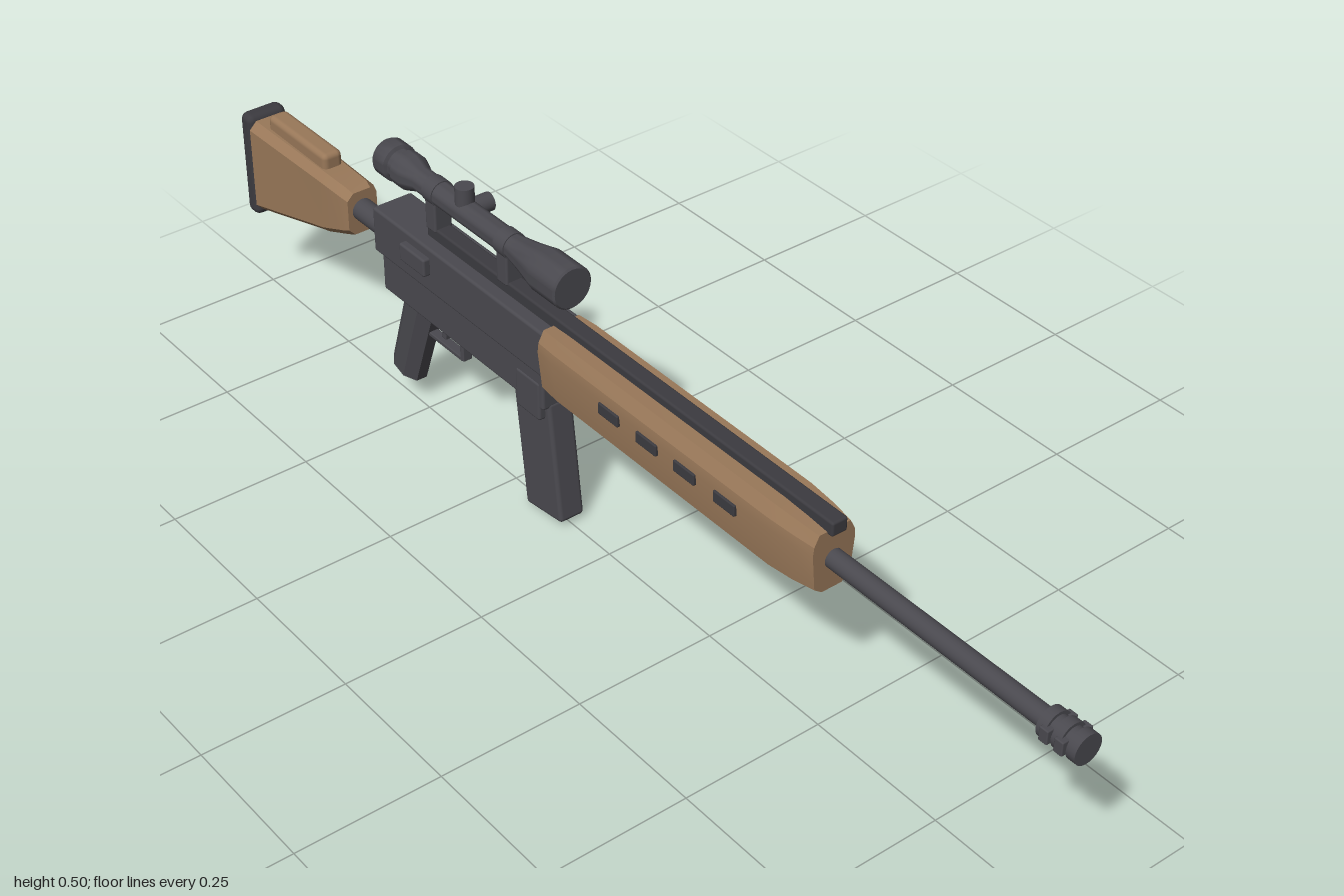
import * as THREE from 'three';
import { RoundedBoxGeometry } from 'three/addons/geometries/RoundedBoxGeometry.js';
import { toCreasedNormals } from 'three/addons/utils/BufferGeometryUtils.js';

const mat = (name, color) => {
  const m = new THREE.MeshStandardMaterial({ color });
  m.name = name;
  return m;
};

// Mirrored outline from half points [x, y] listed bottom to top
const mirror = half => [...half, ...half.slice().reverse().map(([x, y]) => [-x, y])];

// Chamfered box outline
const chamfered = (w, y0, y1, c) => mirror([[w - c, y0], [w, y0 + c], [w, y1 - c], [w - c, y1]]);

// Closed solid through outlines ordered from front to back
function loft(sections) {
  const pos = [];
  const n = sections[0].pts.length;
  const P = (i, j) => [...sections[i].pts[j % n], sections[i].z];
  const tri = (...v) => v.forEach(p => pos.push(...p));
  const last = sections.length - 1;
  for (let i = 0; i < last; i++) {
    for (let j = 0; j < n; j++) {
      tri(P(i, j), P(i + 1, j), P(i, j + 1));
      tri(P(i, j + 1), P(i + 1, j), P(i + 1, j + 1));
    }
  }
  for (let j = 1; j < n - 1; j++) {
    tri(P(0, 0), P(0, j), P(0, j + 1));
    tri(P(last, 0), P(last, j + 1), P(last, j));
  }
  const g = new THREE.BufferGeometry();
  g.setAttribute('position', new THREE.Float32BufferAttribute(pos, 3));
  g.computeVertexNormals();
  return toCreasedNormals(g, 0.35);
}

export function createModel() {
  const model = new THREE.Group();
  model.name = 'rifle';
  const metal = mat('dark metal', 0x4a494f);
  const wood = mat('brown wood', 0x997859);
  const rubber = mat('black rubber', 0x3c3b40);

  const add = (name, geo, material, x = 0, y = 0, z = 0) => {
    const m = new THREE.Mesh(geo, material);
    m.name = name;
    m.position.set(x, y, z);
    model.add(m);
    return m;
  };
  // Softly bevelled box given by its extents
  const box = (name, material, w, y0, y1, z0, z1, r = 0.005, x = 0) =>
    add(name, new RoundedBoxGeometry(w, y1 - y0, z1 - z0, 2, r), material, x, (y0 + y1) / 2, (z0 + z1) / 2);
  // Cylinder along z
  const rod = (name, r, y, z0, z1, material = metal) =>
    add(name, new THREE.CylinderGeometry(r, r, z1 - z0, 24).rotateX(Math.PI / 2), material, 0, y, (z0 + z1) / 2);

  // Barrel and muzzle brake
  rod('barrel', 0.016, 0.328, -0.1, 0.96);
  rod('muzzleCore', 0.02, 0.328, 0.93, 0.998);
  for (const z of [0.93, 0.957, 0.984]) rod('muzzleRing', 0.025, 0.328, z, z + 0.016);
  for (const z of [0.938, 0.965]) box('muzzlePort', metal, 0.056, 0.316, 0.34, z, z + 0.016, 0.002);

  // Handguard with chamfered nose
  const guard = (s, z) => ({
    z,
    pts: mirror([[0.023, 0.266], [0.041, 0.278], [0.049, 0.35], [0.047, 0.367], [0.036, 0.387]]
      .map(([x, y]) => [x * s, 0.337 + (y - 0.337) * (s * 0.6 + 0.4)])),
  });
  add('handguard', loft([guard(0.8, 0.51), guard(0.92, 0.47), guard(1, 0.42), guard(1, -0.08), guard(0.94, -0.12)]), wood);

  // Vents along both sides
  for (const side of [-1, 1]) {
    for (const z of [0.332, 0.241, 0.153, 0.062]) {
      box('handguardVent', rubber, 0.008, 0.328, 0.348, z - 0.024, z + 0.024, 0.002, side * 0.0485);
    }
  }

  // Top rail
  box('topRail', rubber, 0.029, 0.376, 0.401, -0.46, 0.52, 0.004);

  // Receiver
  box('upperReceiver', metal, 0.077, 0.296, 0.38, -0.584, -0.115);
  box('lowerReceiver', metal, 0.068, 0.227, 0.305, -0.568, -0.125);
  box('ejectionPort', metal, 0.01, 0.317, 0.36, -0.378, -0.276, 0.003, 0.038);
  box('boltCatch', metal, 0.016, 0.33, 0.363, -0.49, -0.42, 0.004, -0.043);

  // Magazine and its well
  box('magazineWell', metal, 0.072, 0.204, 0.276, -0.195, -0.133);
  const magazine = add('magazine', new RoundedBoxGeometry(0.048, 0.222, 0.095, 2, 0.007), metal, 0, 0.12, -0.157);
  magazine.rotation.x = -0.13;

  // Pistol grip
  const grip = add('grip', new THREE.CylinderGeometry(0.041, 0.038, 0.18, 8).rotateY(Math.PI / 8).scale(0.7, 1, 1), metal, 0, 0.15, -0.524);
  grip.rotation.x = 0.33;
  grip.geometry = toCreasedNormals(grip.geometry, 0.4);

  // Trigger and guard
  box('triggerGuardBar', metal, 0.018, 0.169, 0.177, -0.49, -0.382, 0.002);
  box('triggerGuardPost', metal, 0.018, 0.17, 0.235, -0.388, -0.378, 0.002);
  const trigger = box('trigger', metal, 0.01, 0.182, 0.235, -0.442, -0.43, 0.002);
  trigger.rotation.x = 0.15;

  // Stock, cheek rest and butt pad
  rod('stockTube', 0.02, 0.316, -0.7, -0.57);
  add('stock', loft([
    { z: -0.675, pts: chamfered(0.029, 0.272, 0.352, 0.012) },
    { z: -0.69, pts: chamfered(0.033, 0.266, 0.357, 0.013) },
    { z: -0.75, pts: chamfered(0.034, 0.242, 0.358, 0.013) },
    { z: -0.966, pts: chamfered(0.039, 0.182, 0.361, 0.014) },
  ]), wood);
  box('cheekRest', wood, 0.038, 0.345, 0.385, -0.936, -0.758, 0.01);
  box('buttPad', rubber, 0.078, 0.17, 0.37, -1, -0.966, 0.013);

  // Scope body, turned around its axis; points are [radius, z]
  const scopeY = 0.463;
  const profile = [[0, -0.587], [0.03, -0.587], [0.033, -0.582], [0.033, -0.553], [0.027, -0.55], [0.027, -0.54],
    [0.031, -0.536], [0.031, -0.515], [0.021, -0.488], [0.021, -0.235], [0.028, -0.195], [0.037, -0.155],
    [0.037, -0.093], [0.034, -0.09], [0, -0.09]].map(p => new THREE.Vector2(...p));
  add('scopeBody', toCreasedNormals(new THREE.LatheGeometry(profile, 28).rotateX(Math.PI / 2), 0.6), metal, 0, scopeY, 0);

  // Scope knobs
  add('scopeTopKnob', new THREE.CylinderGeometry(0.016, 0.016, 0.05, 20), metal, 0, 0.484, -0.37);
  add('scopeSideKnob', new THREE.CylinderGeometry(0.016, 0.016, 0.04, 20).rotateZ(Math.PI / 2), metal, 0.028, scopeY, -0.37);

  // Scope mounts with rings
  for (const z of [-0.252, -0.446]) {
    box('scopeMount', metal, 0.034, 0.394, 0.455, z - 0.014, z + 0.014, 0.004);
    rod('scopeRing', 0.023, scopeY, z - 0.013, z + 0.013);
  }
  return model;
}
